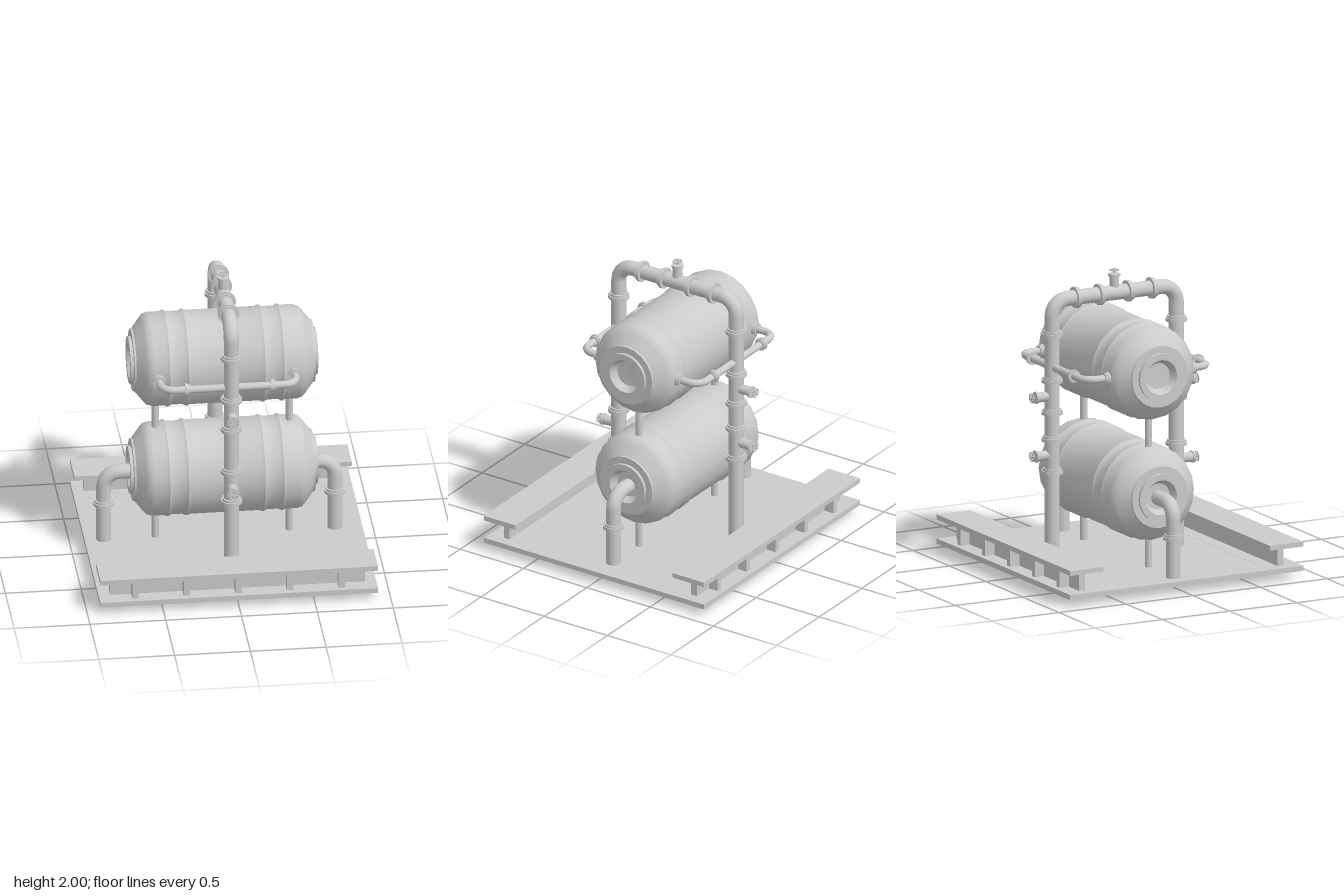
import * as THREE from 'three';
import { toCreasedNormals } from 'three/addons/utils/BufferGeometryUtils.js';

const material = new THREE.MeshStandardMaterial({ color: 0xcccccc });
const V = (x, y, z) => new THREE.Vector3(x, y, z);
const UP = V(0, 1, 0);

function add(parent, name, geometry, position = V(0, 0, 0)) {
  const mesh = new THREE.Mesh(geometry, material);
  mesh.name = name;
  mesh.position.copy(position);
  parent.add(mesh);
  return mesh;
}

function box(parent, name, w, h, d, x, y, z) {
  return add(parent, name, new THREE.BoxGeometry(w, h, d), V(x, y, z));
}

// Straight cylinder between two points
function rod(parent, name, a, b, r, sides = 18) {
  const dir = b.clone().sub(a);
  const geometry = new THREE.CylinderGeometry(r, r, dir.length(), sides);
  const mesh = add(parent, name, geometry, a.clone().add(b).multiplyScalar(0.5));
  mesh.quaternion.setFromUnitVectors(UP, dir.normalize());
  return mesh;
}

// Straight runs joined by rounded elbows
function pipe(parent, name, points, r, bend) {
  const group = new THREE.Group();
  group.name = name;
  let start = points[0];
  for (let i = 1; i < points.length; i++) {
    const corner = points[i];
    if (i === points.length - 1) {
      rod(group, 'pipeRun', start, corner, r);
      break;
    }
    const before = points[i - 1].clone().sub(corner).normalize();
    const after = points[i + 1].clone().sub(corner).normalize();
    const at = (dir, d) => corner.clone().addScaledVector(dir, d);
    const a = at(before, bend), b = at(after, bend);
    rod(group, 'pipeRun', start, a, r);
    const arc = new THREE.CubicBezierCurve3(a, at(before, bend * 0.45), at(after, bend * 0.45), b);
    add(group, 'elbow', new THREE.TubeGeometry(arc, 5, r, 18));
    start = b;
  }
  parent.add(group);
}

// Two-step flange collar centred on a point
function collar(parent, center, dir, r, width) {
  const p = (t) => center.clone().addScaledVector(dir, t * width);
  rod(parent, 'collar', p(-0.5), p(0.1), r);
  rod(parent, 'collarLip', p(0.1), p(0.5), r * 0.87);
}

// Valve built along +y, then turned to its direction
function valve(parent, position, dir) {
  const group = new THREE.Group();
  group.name = 'valve';
  rod(group, 'valveStub', V(0, 0, 0), V(0, 0.12, 0), 0.033);
  rod(group, 'valveFlange', V(0, 0.112, 0), V(0, 0.128, 0), 0.04);
  rod(group, 'valveStem', V(0, 0.12, 0), V(0, 0.165, 0), 0.006, 8);
  const wheel = add(group, 'handWheel', new THREE.TorusGeometry(0.03, 0.004, 6, 18), V(0, 0.152, 0));
  wheel.rotation.x = Math.PI / 2;
  for (let i = 0; i < 3; i++) {
    const spoke = box(group, 'wheelSpoke', 0.06, 0.005, 0.006, 0, 0.152, 0);
    spoke.rotation.y = (i * Math.PI) / 3;
  }
  group.position.copy(position);
  group.quaternion.setFromUnitVectors(UP, dir);
  parent.add(group);
}

// Lying vessel with ridges, tapered ends and recessed ports
function tankGeometry() {
  const half = [
    [0, 0.565], [0.088, 0.57], [0.117, 0.618], [0.16, 0.618], [0.16, 0.598],
    [0.208, 0.598], [0.21, 0.585], [0.28, 0.53], [0.303, 0.508], [0.313, 0.475],
    [0.313, 0.395], [0.322, 0.377], [0.31, 0.355],
    [0.31, 0.275], [0.322, 0.252], [0.313, 0.232],
  ];
  const profile = [
    ...half.map(([r, x]) => new THREE.Vector2(r, -x)),
    ...half.slice().reverse().map(([r, x]) => new THREE.Vector2(r, x)),
  ];
  const geometry = new THREE.LatheGeometry(profile, 20);
  geometry.rotateZ(-Math.PI / 2);
  return toCreasedNormals(geometry, 0.6);
}

export function createModel() {
  const model = new THREE.Group();
  const tankZ = -0.033, frontZ = 0.42, backZ = -0.507, topY = 1.838;
  const X = V(1, 0, 0), Z = V(0, 0, 1), BACK = V(0, 0, -1);

  // Base plate and the two flanged beams
  box(model, 'basePlate', 1.83, 0.033, 1.26, 0, 0.0675, 0);
  for (const s of [1, -1]) {
    box(model, 'beamBottomFlange', 1.83, 0.035, 0.25, 0, 0.0675, s * 0.745);
    box(model, 'beamTopFlange', 1.83, 0.033, 0.25, 0, 0.23, s * 0.745);
    box(model, 'beamWeb', 1.68, 0.13, 0.045, 0, 0.15, s * 0.74);
    for (let i = -2; i <= 2; i++) {
      box(model, 'beamRib', 0.042, 0.13, 0.08, i * 0.34, 0.15, s * 0.792);
    }
  }

  // Tanks and their supports
  const tank = tankGeometry();
  add(model, 'lowerTank', tank, V(-0.01, 0.585, tankZ));
  add(model, 'upperTank', tank, V(-0.01, 1.395, tankZ));
  for (const x of [-0.45, 0.435]) {
    rod(model, 'lowerLeg', V(x, 0.08, tankZ), V(x, 0.34, tankZ), 0.024, 12);
    rod(model, 'upperLeg', V(x, 0.84, tankZ), V(x, 1.14, tankZ), 0.024, 12);
  }

  // Drain pipes at the ends of the lower tank
  for (const [x, inner] of [[-0.79, -0.56], [0.735, 0.54]]) {
    pipe(model, 'drainPipe', [V(inner, 0.576, tankZ), V(x, 0.576, tankZ), V(x, 0.08, tankZ)], 0.049, 0.1);
    collar(model, V(x, 0.357, tankZ), UP, 0.069, 0.036);
  }

  // Main arched pipe over both tanks
  pipe(model, 'mainPipe', [
    V(0, 0, frontZ), V(0, topY, frontZ), V(0, topY, backZ), V(0, 0, backZ),
  ], 0.05, 0.11);
  for (const y of [0.56, 0.78, 1.09, 1.305, 1.615]) collar(model, V(0, y, frontZ), UP, 0.071, 0.038);
  for (const y of [0.69, 0.91, 1.09, 1.305, 1.615]) collar(model, V(0, y, backZ), UP, 0.071, 0.038);
  for (const z of [0.24, 0.065, -0.15, -0.325]) collar(model, V(0, topY, z), Z, 0.071, 0.038);

  // Valves
  valve(model, V(0, topY, -0.043), UP);
  for (const y of [0.667, 1.195]) valve(model, V(0, y, frontZ), Z);
  for (const y of [0.8, 1.195]) valve(model, V(0, y, backZ), BACK);

  // Side loops joining the upper tank to the main pipe
  const left = -0.46, right = 0.435, loopY = 1.39;
  for (const [z, flangeZ] of [[frontZ, 0.288], [backZ, -0.354]]) {
    const inside = flangeZ - Math.sign(z) * 0.06;
    pipe(model, 'sideLoop', [
      V(left, loopY, inside), V(left, loopY, z), V(right, loopY, z), V(right, loopY, inside),
    ], 0.025, 0.085);
    for (const x of [left, right]) collar(model, V(x, loopY, flangeZ), z > 0 ? Z : BACK, 0.043, 0.034);
    for (const x of [-0.29, 0.275]) collar(model, V(x, loopY, z), X, 0.043, 0.034);
  }
  return model;
}
